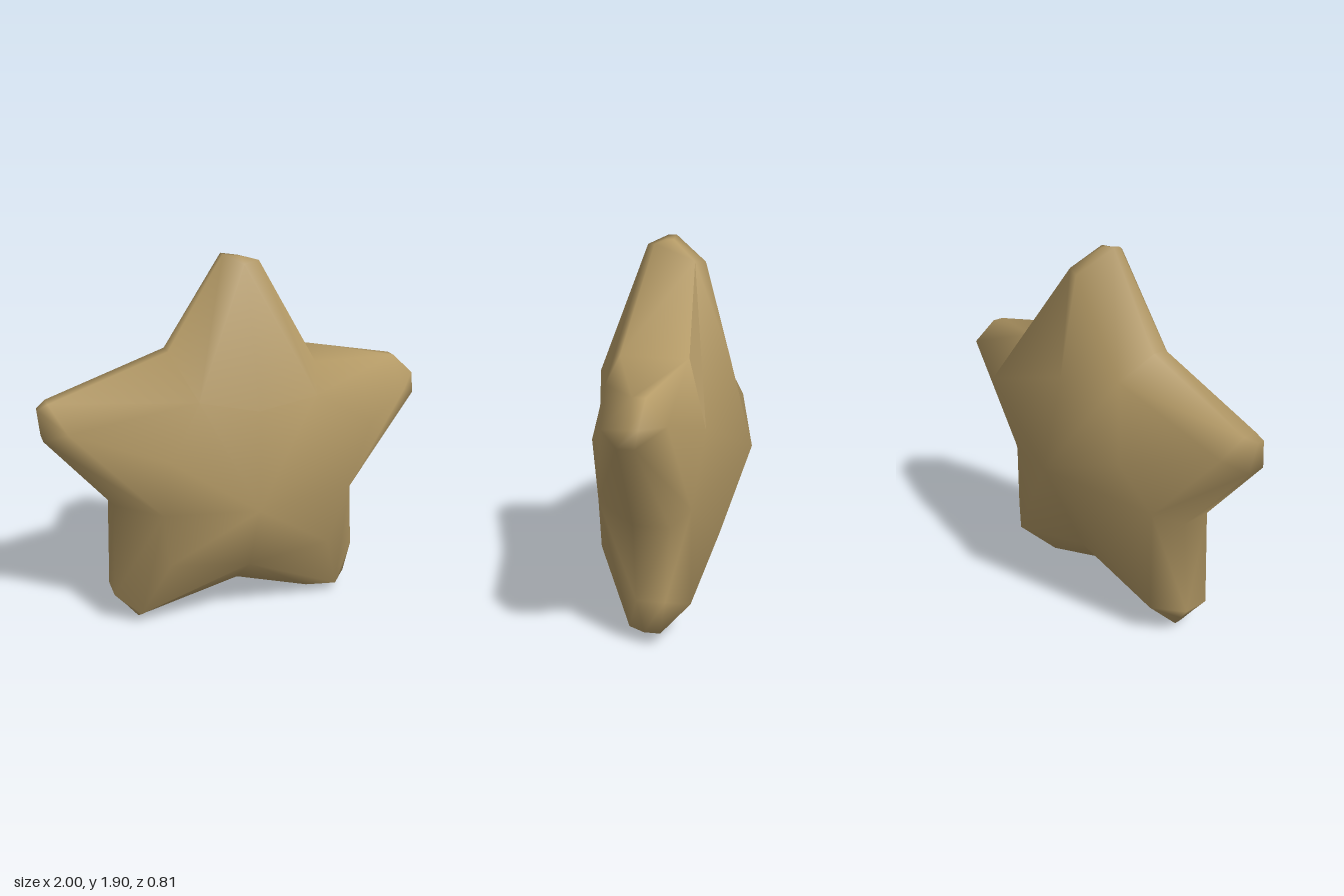
import * as THREE from 'three';
import { mergeVertices } from 'three/addons/utils/BufferGeometryUtils.js';

// Smooth mesh from triangles given as point triples
function buildMesh(name, tris, material) {
  let geo = new THREE.BufferGeometry();
  geo.setAttribute('position', new THREE.Float32BufferAttribute(tris.flat(2), 3));
  geo = mergeVertices(geo);
  geo.computeVertexNormals();
  const mesh = new THREE.Mesh(geo, material);
  mesh.name = name;
  return mesh;
}

// Outline point as a front and back pair, h being half the edge thickness
const edge = (x, y, z, h) => ({ front: [x, y, z + h], back: [x, y, z - h] });

// Five triangle fans on one face of an arm: one for each half and the cap at the tip
const firstHalf = (c, ridge, tip, rim, valley, notch) =>
  [[c, valley, ridge], [ridge, valley, tip], [valley, rim[0], tip], [valley, notch, rim[0]]];
const lastHalf = (c, ridge, tip, rim, valley, notch) =>
  [[c, ridge, valley], [ridge, tip, valley], [tip, rim[2], valley], [rim[2], notch, valley]];
const cap = (tip, rim) => [[tip, rim[0], rim[1]], [tip, rim[1], rim[2]]];

export function createModel() {
  const group = new THREE.Group();
  group.name = 'star';
  const sand = new THREE.MeshStandardMaterial({ color: 0xb39965 });
  sand.name = 'sand';

  const frontCentre = [0, 0.7, 0.41];
  const backCentre = [0, 0.84, -0.405];

  // Arms, counterclockwise from the top: rim of the tip, tip and ridge points in front and behind
  const arms = [
    { rim: [{ front: [0.1, 1.87, 0.08], back: [0.11, 1.79, -0.12] }, edge(0.02, 1.885, 0.02, 0.02), edge(-0.07, 1.9, 0.02, 0.02)],
      front: [0.01, 1.86, 0.13], back: [0.02, 1.78, -0.16], ridge: [0, 1.21, 0.385], spine: [0, 1.3, -0.285] },
    { rim: [edge(-0.95, 1.235, 0, 0.04), edge(-1, 1.21, 0.02, 0.02), edge(-0.985, 1.06, 0.02, 0.05)],
      front: [-0.88, 1.12, 0.18], back: [-0.9, 1.13, -0.13], ridge: [-0.43, 0.98, 0.345], spine: [-0.44, 1.0, -0.31] },
    { rim: [edge(-0.68, 0.17, 0.01, 0.07), edge(-0.615, 0.085, 0.01, 0.04), edge(-0.55, 0, 0.02, 0.02)],
      front: [-0.55, 0.06, 0.13], back: [-0.53, 0.17, -0.17], ridge: [-0.43, 0.41, 0.295], spine: [-0.29, 0.47, -0.28] },
    { rim: [edge(0.41, 0.02, 0.02, 0.03), edge(0.635, 0.07, 0, 0.04), edge(0.66, 0.25, 0, 0.07)],
      front: [0.55, 0.05, 0.13], back: [0.52, 0.18, -0.17], ridge: [0.42, 0.41, 0.295], spine: [0.29, 0.47, -0.28] },
    { rim: [edge(0.98, 1.11, 0.04, 0.04), edge(1, 1.2, 0, 0.02), edge(0.88, 1.31, 0, 0.03)],
      front: [0.88, 1.16, 0.17], back: [0.92, 1.2, -0.13], ridge: [0.65, 1.04, 0.27], spine: [0.61, 1.1, -0.25] },
  ];

  // Notches between the arms, with a shoulder point in front and behind
  const notches = [edge(-0.36, 1.45, 0.03, 0.04), edge(-0.66, 0.68, 0, 0.08), edge(-0.02, 0.18, 0.03, 0.08),
    edge(0.63, 0.62, 0, 0.09), { front: [0.36, 1.37, 0.2], back: [0.4, 1.38, -0.14] }];
  const frontValley = [[-0.26, 1.24, 0.265], [-0.46, 0.69, 0.3], [0, 0.33, 0.26], [0.54, 0.7, 0.275], [0.34, 1.22, 0.28]];
  const backValley = notches.map(({ back: [x, y] }) =>
    [x * 0.8, backCentre[1] + (y - backCentre[1]) * 0.8, -0.17]);

  const front = [], back = [], wall = [];
  arms.forEach((a, k) => {
    const p = (k + 4) % 5;
    const rimFront = a.rim.map(r => r.front), rimBack = a.rim.map(r => r.back);
    front.push(...firstHalf(frontCentre, a.ridge, a.front, rimFront, frontValley[p], notches[p].front),
      ...lastHalf(frontCentre, a.ridge, a.front, rimFront, frontValley[k], notches[k].front),
      ...cap(a.front, rimFront));
    if (k !== 0) back.push(...firstHalf(backCentre, a.spine, a.back, rimBack, backValley[p], notches[p].back));
    if (k !== 4) back.push(...lastHalf(backCentre, a.spine, a.back, rimBack, backValley[k], notches[k].back));
    back.push(...cap(a.back, rimBack));
    // Narrow edge joining the two faces
    const outline = [notches[p], ...a.rim, notches[k]];
    for (let i = 0; i < 4; i++) {
      const s = outline[i], t = outline[i + 1];
      wall.push([s.front, s.back, t.back], [s.front, t.back, t.front]);
    }
  });

  // Straight web behind the notch between the top arm and the left arm
  const top = arms[0], side = arms[4];
  const corner = top.rim[0].back, notch = notches[4].back;
  back.push([backCentre, side.spine, top.spine], [top.spine, side.spine, corner], [top.spine, corner, top.back],
    [side.spine, side.back, notch], [side.back, side.rim[2].back, notch]);

  const body = [...front, ...wall, ...back.map(([a, b, c]) => [a, c, b])];
  group.add(buildMesh('starBody', body, sand));
  group.add(buildMesh('webEdge', [[side.spine, corner, notch]], sand));
  return group;
}
